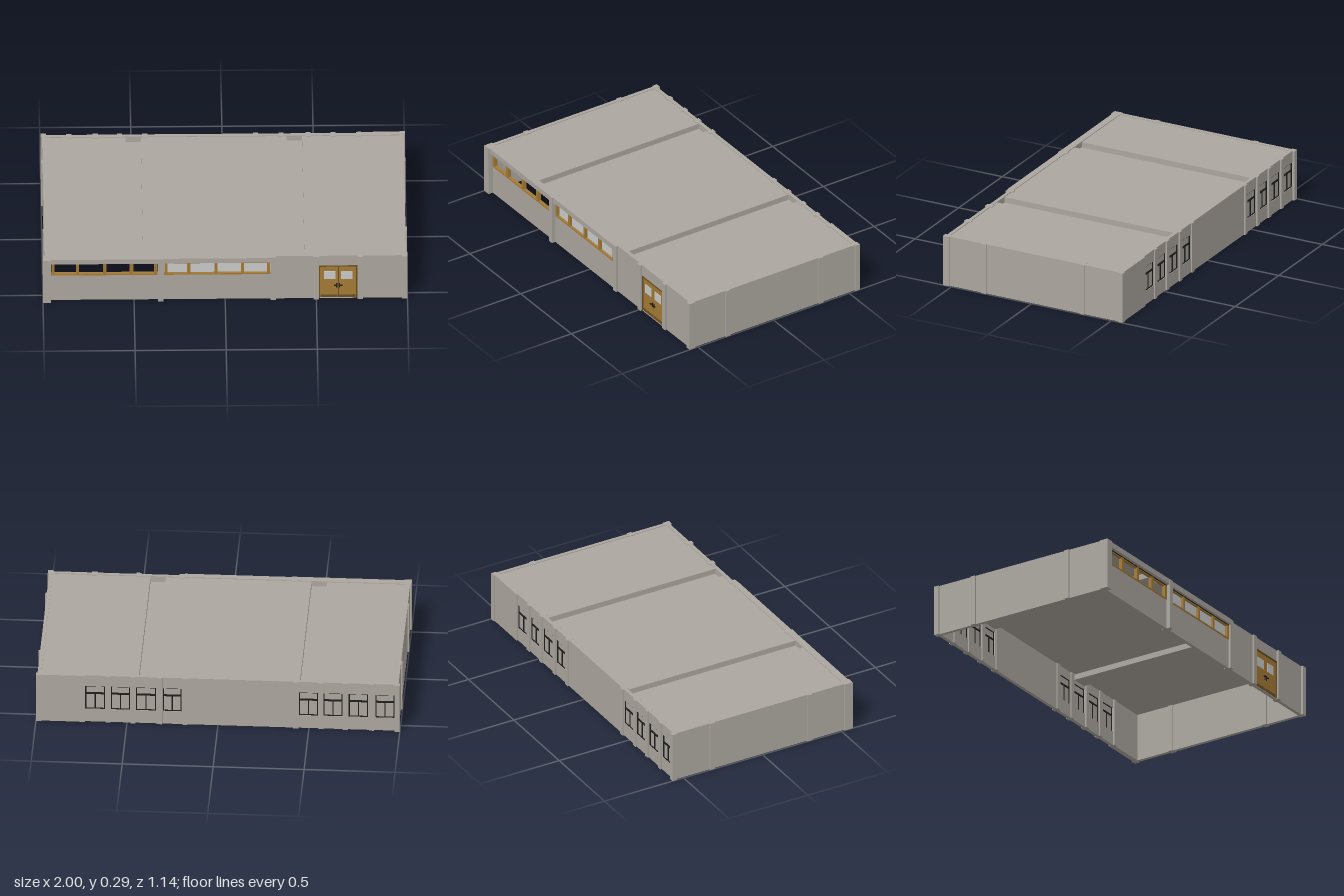
import * as THREE from 'three';

const mat = (name, color, side = THREE.FrontSide) => {
  const m = new THREE.MeshStandardMaterial({ color, side });
  m.name = name;
  return m;
};

export function createModel() {
  const concrete = mat('concrete', 0xaba69e);
  const wood = mat('wood', 0xa47a34);
  const darkWood = mat('dark wood', 0x6b5022);
  const black = mat('black metal', 0x1e1e1c);
  const glass = mat('pale glass', 0xc9cacb, THREE.DoubleSide);
  const root = new THREE.Group();
  const H = 0.293;

  // Box given by its minimum and maximum corners
  const box = (name, m, x0, x1, y0, y1, z0, z1, parent = root) => {
    const mesh = new THREE.Mesh(new THREE.BoxGeometry(x1 - x0, y1 - y0, z1 - z0), m);
    mesh.position.set((x0 + x1) / 2, (y0 + y1) / 2, (z0 + z1) / 2);
    mesh.name = name;
    parent.add(mesh);
    return mesh;
  };
  const group = (name) => {
    const g = new THREE.Group();
    g.name = name;
    root.add(g);
    return g;
  };
  const rect = (path, x0, x1, y0, y1) => {
    path.moveTo(x0, y0);
    path.lineTo(x1, y0);
    path.lineTo(x1, y1);
    path.lineTo(x0, y1);
    path.closePath();
    return path;
  };
  // Long wall with rectangular openings
  const wall = (name, z0, z1, holes) => {
    const s = rect(new THREE.Shape(), -0.99, 0.99, 0, H);
    holes.forEach((h) => s.holes.push(rect(new THREE.Path(), ...h)));
    const geo = new THREE.ExtrudeGeometry(s, { depth: z1 - z0, bevelEnabled: false });
    const mesh = new THREE.Mesh(geo, concrete);
    mesh.position.z = z0;
    mesh.name = name;
    root.add(mesh);
  };

  // Front and back walls
  const strips = [
    [-0.955, -0.372, [-0.945, -0.81, -0.66, -0.515, -0.382]],
    [-0.335, 0.248, [-0.325, -0.2, -0.05, 0.095, 0.238]],
  ];
  const backX = [
    [-0.97, -0.865], [-0.825, -0.718], [-0.685, -0.58], [-0.55, -0.445],
    [0.2, 0.303], [0.34, 0.45], [0.483, 0.588], [0.62, 0.73],
  ];
  const wy0 = 0.08, wy1 = 0.225;
  wall('frontWall', 0.522, 0.542, [
    ...strips.map(([a, b]) => [a, b, 0.172, 0.26]),
    [0.515, 0.725, 0.003, 0.226],
  ]);
  wall('backWall', -0.556, -0.536, backX.map(([a, b]) => [a, b, wy0, wy1]));
  box('backWallThickening', concrete, 0.745, 0.99, 0, H, -0.564, -0.55);

  // End walls with pilasters
  for (const s of [-1, 1]) {
    const span = (a, b) => (s > 0 ? [a, b] : [-b, -a]);
    box('endWall', concrete, ...span(0.972, 0.992), 0, H, -0.55, 0.54);
    for (const z of [-0.316, 0.3])
      box('endPilaster', concrete, ...span(0.966, 1), 0, H, z - 0.015, z + 0.015);
    box('backCorner', concrete, ...span(0.97, 1), 0, H, -0.57, -0.54);
  }
  box('frontCorner', concrete, -1, -0.957, 0, H, 0.52, 0.57);
  box('frontCorner', concrete, 0.97, 1, 0, H, 0.515, 0.554);

  // Pilasters along the front and back
  for (const [x, z] of [[-0.355, 0.565], [0.263, 0.556], [0.5, 0.554], [0.742, 0.554]])
    box('frontPilaster', concrete, x - 0.015, x + 0.015, 0, H, 0.513, z);
  for (const x of [-0.845, -0.7, -0.567, -0.428, 0.18, 0.32, 0.467, 0.604, 0.745])
    box('backPilaster', concrete, x - 0.014, x + 0.014, 0, H, -0.565, -0.528);

  // Projecting lintels over the window strips
  box('lintel', concrete, -0.957, -0.37, 0.262, H, 0.535, 0.563);
  box('lintel', concrete, -0.34, 0.249, 0.262, H, 0.535, 0.559);

  // Roof slabs with two sunken channels that hang below as beams
  const zb = -0.545, zf = 0.53;
  for (const [a, b] of [[-0.98, -0.535], [-0.45, 0.35], [0.435, 0.98]])
    box('roofSlab', concrete, a, b, 0.275, 0.289, zb, zf);
  for (const [a, b] of [[-0.535, -0.45], [0.35, 0.435]]) {
    box('roofChannel', concrete, a, b, 0.243, 0.257, zb, zf);
    box('channelSide', concrete, a - 0.006, a, 0.243, 0.289, zb, zf);
    box('channelSide', concrete, b, b + 0.006, 0.243, 0.289, zb, zf);
  }

  // Front window strips; the first is glazed on the room side only
  strips.forEach(([a, b, posts], i) => {
    const g = group('windowStrip');
    for (const x of posts) box('mullion', wood, x - 0.009, x + 0.009, 0.172, 0.258, 0.526, 0.546, g);
    box('sill', wood, a, b, 0.172, 0.18, 0.526, 0.546, g);
    box('topRail', wood, a, b, 0.249, 0.255, 0.528, 0.544, g);
    box('topShadowBar', black, a, b, 0.255, 0.261, 0.53, 0.546, g);
    const pane = new THREE.Mesh(
      new THREE.PlaneGeometry(b - a, 0.08),
      i ? glass : mat('inner glass', 0xc9cacb),
    );
    pane.name = 'pane';
    pane.position.set((a + b) / 2, 0.216, 0.532);
    if (!i) pane.rotation.y = Math.PI;
    g.add(pane);
  });

  // Back windows: dark frame, transom and centre bar
  for (const [a, b] of backX) {
    const g = group('backWindow');
    const m = (a + b) / 2, t = 0.006, z0 = -0.553, z1 = -0.541;
    box('pane', concrete, a, b, wy0, wy1, -0.548, -0.544, g);
    box('jamb', black, a, a + t, wy0, wy1, z0, z1, g);
    box('jamb', black, b - t, b, wy0, wy1, z0, z1, g);
    box('centreBar', black, m - t / 2, m + t / 2, wy0, 0.18, z0, z1, g);
    box('transom', black, a, b, 0.173, 0.183, z0, z1, g);
    box('bottomRail', black, a, b, wy0, wy0 + 0.004, z0, z1, g);
    box('topRail', black, a, b, wy1 - 0.004, wy1, z0, z1, g);
  }

  // Double door
  const door = group('door');
  box('frameTop', darkWood, 0.515, 0.725, 0.219, 0.226, 0.524, 0.545, door);
  box('frameSide', darkWood, 0.515, 0.521, 0.003, 0.22, 0.524, 0.545, door);
  box('frameSide', darkWood, 0.719, 0.725, 0.003, 0.22, 0.524, 0.545, door);
  box('doorGap', black, 0.618, 0.622, 0.003, 0.219, 0.527, 0.537, door);
  for (const s of [-1, 1]) {
    const span = (a, b) => (s > 0 ? [0.62 + a, 0.62 + b] : [0.62 - b, 0.62 - a]);
    box('leaf', wood, ...span(0.001, 0.099), 0.003, 0.219, 0.526, 0.539, door);
    box('doorWindow', glass, ...span(0.016, 0.078), 0.13, 0.184, 0.524, 0.541, door);
    box('kickPlate', darkWood, ...span(0.004, 0.096), 0.006, 0.022, 0.524, 0.541, door);
    box('handlePlate', black, ...span(0.005, 0.011), 0.072, 0.1, 0.524, 0.542, door);
    box('handle', black, ...span(0.005, 0.023), 0.086, 0.091, 0.541, 0.548, door);
  }
  return root;
}
